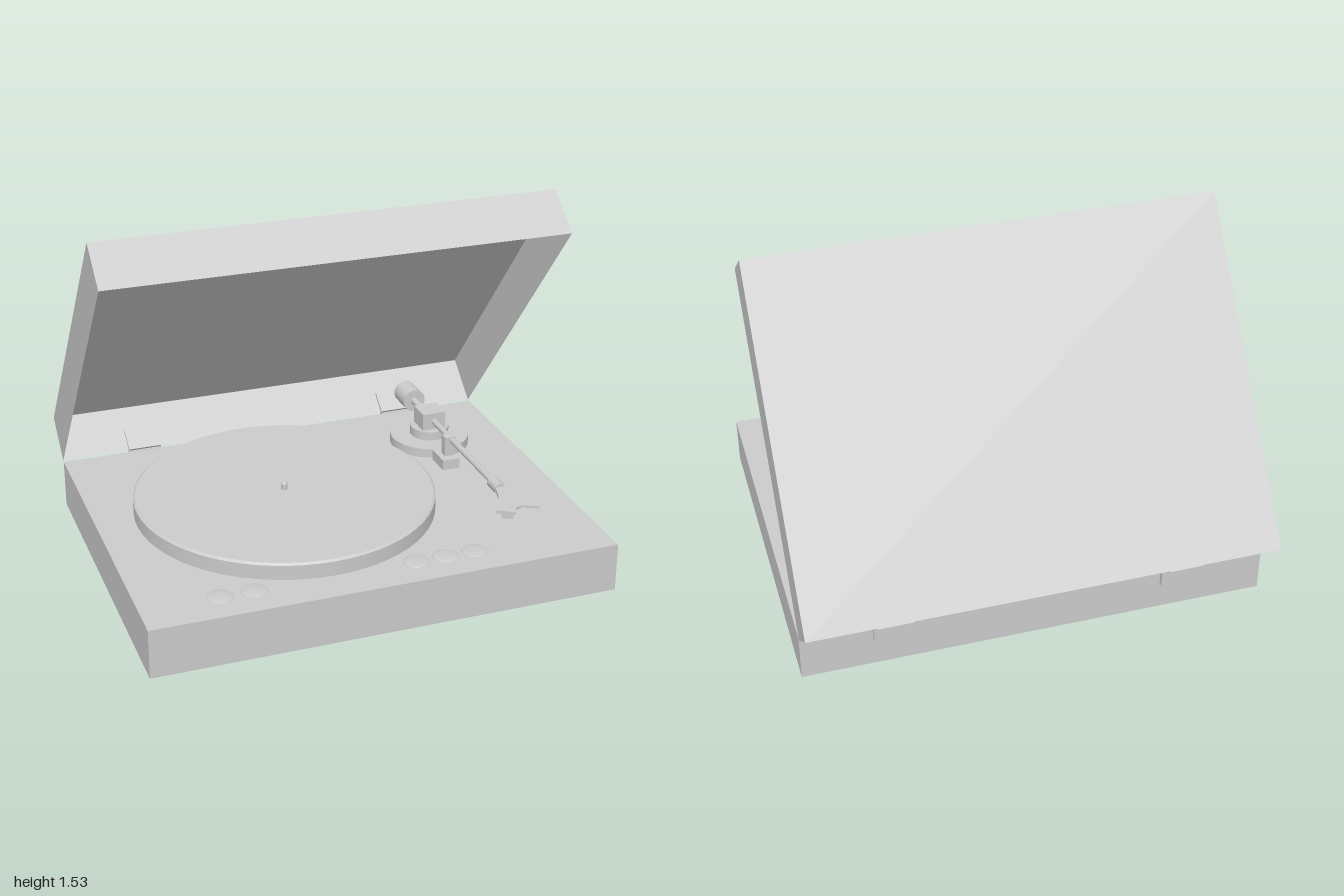
import * as THREE from 'three';

const grey = new THREE.MeshStandardMaterial({ color: 0xcccccc, side: THREE.DoubleSide });

function add(parent, name, geometry, x = 0, y = 0, z = 0) {
  const mesh = new THREE.Mesh(geometry, grey);
  mesh.name = name;
  mesh.position.set(x, y, z);
  parent.add(mesh);
  return mesh;
}

const box = (w, h, d) => new THREE.BoxGeometry(w, h, d);
const disc = (r, h, top = r) => new THREE.CylinderGeometry(top, r, h, 64);
const rod = (r, length) => new THREE.CylinderGeometry(r, r, length, 32).rotateX(Math.PI / 2);

// Thin-walled box with its bottom face left out
function openBox(w, h, d) {
  const g = box(w, h, d);
  g.setIndex(Array.from(g.index.array).filter((_, i) => i < 18 || i > 23));
  g.clearGroups();
  return g;
}

// Flat outline in x/z, given thickness upward
function plate(points, height) {
  const shape = new THREE.Shape(points.map(([x, z]) => new THREE.Vector2(x, -z)));
  return new THREE.ExtrudeGeometry(shape, { depth: height, bevelEnabled: false }).rotateX(-Math.PI / 2);
}

function createPlatter() {
  const group = new THREE.Group();
  group.name = 'platter';
  group.position.set(-0.185, 0, 0.045);
  add(group, 'platterBody', disc(0.65, 0.072), 0, 0.241, 0);
  add(group, 'platterRim', disc(0.65, 0.008, 0.64), 0, 0.281, 0);
  add(group, 'spindle', disc(0.014, 0.025), 0, 0.295, 0);
  add(group, 'spindleTip', new THREE.SphereGeometry(0.014, 20, 12), 0, 0.307, 0);
  return group;
}

function createTonearm() {
  const group = new THREE.Group();
  group.name = 'tonearm';
  group.position.x = 0.645;
  // Pivot
  add(group, 'pivotBase', disc(0.18, 0.045), 0, 0.2325, -0.325);
  add(group, 'pivotCollar', disc(0.088, 0.042), 0, 0.275, -0.325);
  add(group, 'pivotBlock', box(0.11, 0.08, 0.11), 0, 0.335, -0.325);
  // Arm, sleeves and counterweight along z
  add(group, 'armTube', rod(0.014, 0.93), 0, 0.335, -0.06);
  add(group, 'rearSleeve', rod(0.024, 0.06), 0, 0.335, -0.4);
  add(group, 'rearShaft', rod(0.017, 0.12), 0, 0.335, -0.46);
  add(group, 'counterweight', rod(0.053, 0.12), 0, 0.335, -0.57);
  add(group, 'headCollar', rod(0.026, 0.08), 0, 0.335, 0.41);
  // Angled headshell with cartridge and finger lift
  add(group, 'headshell', plate([[-0.022, 0.445], [0.022, 0.445], [0.028, 0.53],
    [-0.035, 0.68], [-0.105, 0.637], [-0.045, 0.53]], 0.014), 0, 0.334, 0);
  const cartridge = add(group, 'cartridge', box(0.05, 0.025, 0.06), -0.05, 0.325, 0.63);
  cartridge.rotation.y = -0.45;
  add(group, 'fingerLift', plate([[0.0, 0.605], [0.022, 0.61], [0.088, 0.645],
    [0.08, 0.66], [0.015, 0.627], [-0.02, 0.64]], 0.01), 0, 0.335, 0);
  // Arm rest
  add(group, 'armRestBase', box(0.08, 0.05, 0.12), -0.02, 0.235, -0.08);
  add(group, 'armRestPost', box(0.05, 0.09, 0.04), -0.01, 0.305, -0.08);
  return group;
}

function createLid() {
  const group = new THREE.Group();
  group.name = 'lid';
  group.position.set(0, 0.215, -0.68);
  group.rotation.x = -Math.atan2(1.17, 0.965);
  add(group, 'lidShell', openBox(2, 0.22, 1.517), 0, 0.11, 0.7585);
  for (const x of [-0.62, 0.62]) add(group, 'lidHingeLeaf', box(0.15, 0.1, 0.024), x, 0.05, 0);
  return group;
}

export function createModel() {
  const model = new THREE.Group();
  model.name = 'recordPlayer';

  // Hollow plinth, open underneath
  add(model, 'plinth', openBox(2, 0.213, 1.52), 0, 0.1065, 0.09);
  model.add(createPlatter(), createTonearm(), createLid());

  // Low domed control buttons along the front
  for (const x of [-0.67, -0.53, 0.16, 0.29, 0.42]) {
    const dome = new THREE.SphereGeometry(0.055, 32, 8, 0, Math.PI * 2, 0, Math.PI / 2).scale(1, 0.13, 1);
    add(model, 'controlButton', dome, x, 0.213, 0.7);
  }

  // Hinge leaves fixed to the back of the plinth
  for (const x of [-0.62, 0.62]) add(model, 'plinthHingeLeaf', box(0.15, 0.085, 0.022), x, 0.1725, -0.679);

  return model;
}
